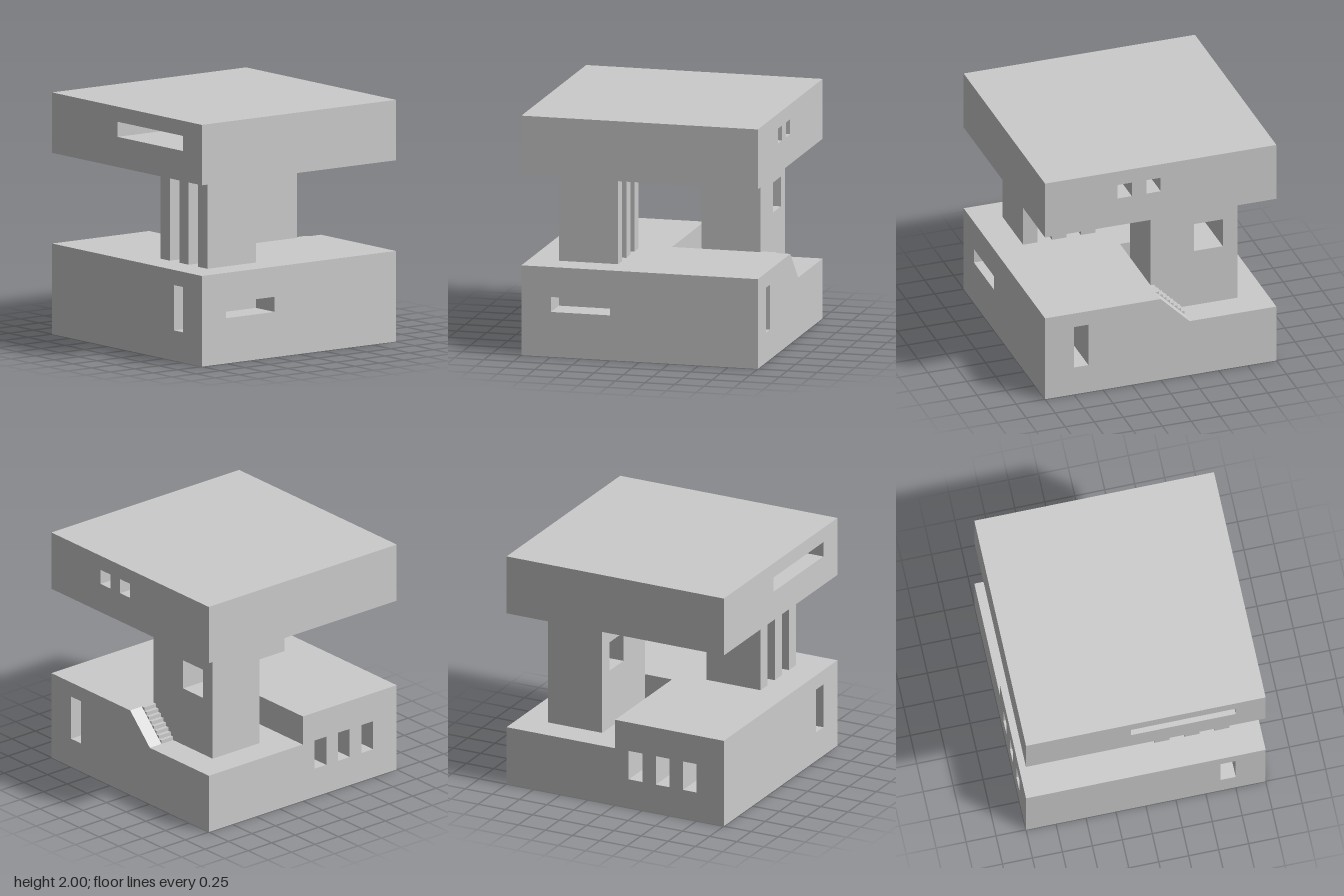
import * as THREE from 'three';

const grey = new THREE.MeshStandardMaterial({ color: 0xcccccc });

const add = (parent, geometry, name) => {
  const mesh = new THREE.Mesh(geometry, grey);
  mesh.name = name;
  parent.add(mesh);
  return mesh;
};

const toShape = (points) => new THREE.Shape(points.map(([x, y]) => new THREE.Vector2(x, y)));
const rect = (x0, x1, y0, y1) => [[x0, y0], [x1, y0], [x1, y1], [x0, y1]];

// Inward-facing lining of an opening, open at its mouth and, if through, at its end
function lining([x0, x1, y0, y1, depth, through], dist) {
  const g = new THREE.BoxGeometry(x1 - x0, y1 - y0, depth);
  g.translate((x0 + x1) / 2, (y0 + y1) / 2, dist - depth / 2);
  const kept = Array.from(g.index.array).slice(0, 24);
  if (!through) kept.push(...Array.from(g.index.array).slice(30));
  g.setIndex(kept.reverse());
  g.clearGroups();
  const n = g.attributes.normal;
  for (let i = 0; i < n.count; i++) n.setXYZ(i, -n.getX(i), -n.getY(i), -n.getZ(i));
  return g;
}

// Upright wall facing local +z, with openings, turned about y to its side
function wall(parent, name, outline, dist, angle, openings = []) {
  const side = new THREE.Group();
  side.name = name;
  side.rotation.y = angle;
  const shape = toShape(outline);
  openings.forEach(([x0, x1, y0, y1]) => shape.holes.push(toShape(rect(x0, x1, y0, y1))));
  add(side, new THREE.ShapeGeometry(shape).translate(0, 0, dist), name + 'Face');
  openings.forEach((o) => add(side, lining(o, dist), name + 'Opening'));
  parent.add(side);
}

// Horizontal surface from x, z points, facing up or down
function level(parent, name, points, y, up = true) {
  const s = up ? -1 : 1;
  const g = new THREE.ShapeGeometry(toShape(points.map(([x, z]) => [x, s * z])));
  add(parent, g.rotateX(s * Math.PI / 2).translate(0, y, 0), name);
}

function extrude(parent, name, points, depth, z) {
  const g = new THREE.ExtrudeGeometry(toShape(points), { depth, bevelEnabled: false });
  add(parent, g.translate(0, 0, z), name);
}

const FRONT = 0, BACK = Math.PI, LEFT = Math.PI / 2, RIGHT = -Math.PI / 2;

function createBase() {
  const base = new THREE.Group();
  base.name = 'base';
  const full = rect(-1, 1, 0, 0.75);
  // Outer walls; the tall window runs right through from front to back
  wall(base, 'baseFrontWall', full, 1, FRONT, [[0.625, 0.75, 0.25, 0.625, 1, true]]);
  wall(base, 'baseBackWall', [[-1, 0], [1, 0], [1, 0.5], [0.25, 0.5], [0, 0.75], [-1, 0.75]],
    1, BACK, [[-0.75, -0.625, 0.25, 0.625, 1, true]]);
  wall(base, 'baseSlotWall', full, 1, LEFT, [[-0.75, -0.25, 0.375, 0.5, 0.25]]);
  wall(base, 'baseWindowWall', [[-1, 0], [1, 0], [1, 0.75], [0, 0.75], [0, 0.5], [-1, 0.5]], 1, RIGHT,
    [0.125, 0.375, 0.625].map((z) => [z, z + 0.125, 0.25, 0.5, 0.5]));
  // Underside, L-shaped deck and sunken terrace
  level(base, 'baseUnderside', rect(-1, 1, -1, 1), 0, false);
  level(base, 'deck', [[-1, 0], [0, 0], [0, -1], [1, -1], [1, 1], [-1, 1]], 0.75);
  level(base, 'terrace', rect(-1, 0, -1, 0), 0.5);
  wall(base, 'terraceRearWall', rect(0, 1, 0.5, 0.75), 0, BACK);
  wall(base, 'terraceSideWall', rect(-1, 0, 0.5, 0.75), 0, RIGHT);
  // Stair with sloping parapet
  extrude(base, 'parapet', [[-0.25, 0.5], [0, 0.5], [0, 0.75]], 0.124, -0.999);
  const steps = [[0, 0.5], [-0.25, 0.5]];
  const n = 8, run = 0.25 / n;
  for (let i = 0; i < n; i++) {
    const y = 0.5 + (i + 1) * run;
    steps.push([-0.25 + i * run, y], [-0.25 + (i + 1) * run, y]);
  }
  extrude(base, 'stair', steps.reverse(), 0.125, -0.875);
  return base;
}

function createTower() {
  const tower = new THREE.Group();
  tower.name = 'tower';
  tower.position.set(-0.375, 0.5, -0.5);
  const broad = rect(-0.375, 0.375, 0, 1), narrow = rect(-0.25, 0.25, 0, 1);
  wall(tower, 'towerFront', broad, 0.25, FRONT, [[-0.25, 0, 0.5, 0.75, 0.25, true]]);
  wall(tower, 'towerBack', broad, 0.25, BACK, [[0, 0.25, 0.5, 0.75, 0.25, true]]);
  wall(tower, 'towerLeft', narrow, 0.375, LEFT);
  wall(tower, 'towerRight', narrow, 0.375, RIGHT);
  return tower;
}

function createUpperStorey() {
  const upper = new THREE.Group();
  upper.name = 'upperStorey';
  const face = rect(-1, 1, 1.5, 2);
  wall(upper, 'upperFrontWall', face, 1, FRONT, [[-0.125, 0.75, 1.75, 1.875, 0.5]]);
  wall(upper, 'upperBackWall', face, 1, BACK,
    [-0.375, -0.125].map((x) => [x, x + 0.125, 1.75, 1.875, 0.5]));
  wall(upper, 'upperLeftWall', face, 1, LEFT);
  wall(upper, 'upperRightWall', face, 1, RIGHT);
  level(upper, 'roof', rect(-1, 1, -1, 1), 2);
  level(upper, 'soffit', rect(-1, 1, -1, 1), 1.5, false);
  return upper;
}

export function createModel() {
  const model = new THREE.Group();
  model.name = 'building';
  model.add(createBase(), createTower(), createUpperStorey());
  // Three blade columns
  [0.1875, 0.4375, 0.6875].forEach((x) =>
    add(model, new THREE.BoxGeometry(0.125, 0.75, 0.5), 'column').position.set(x, 1.125, 0.5));
  return model;
}
